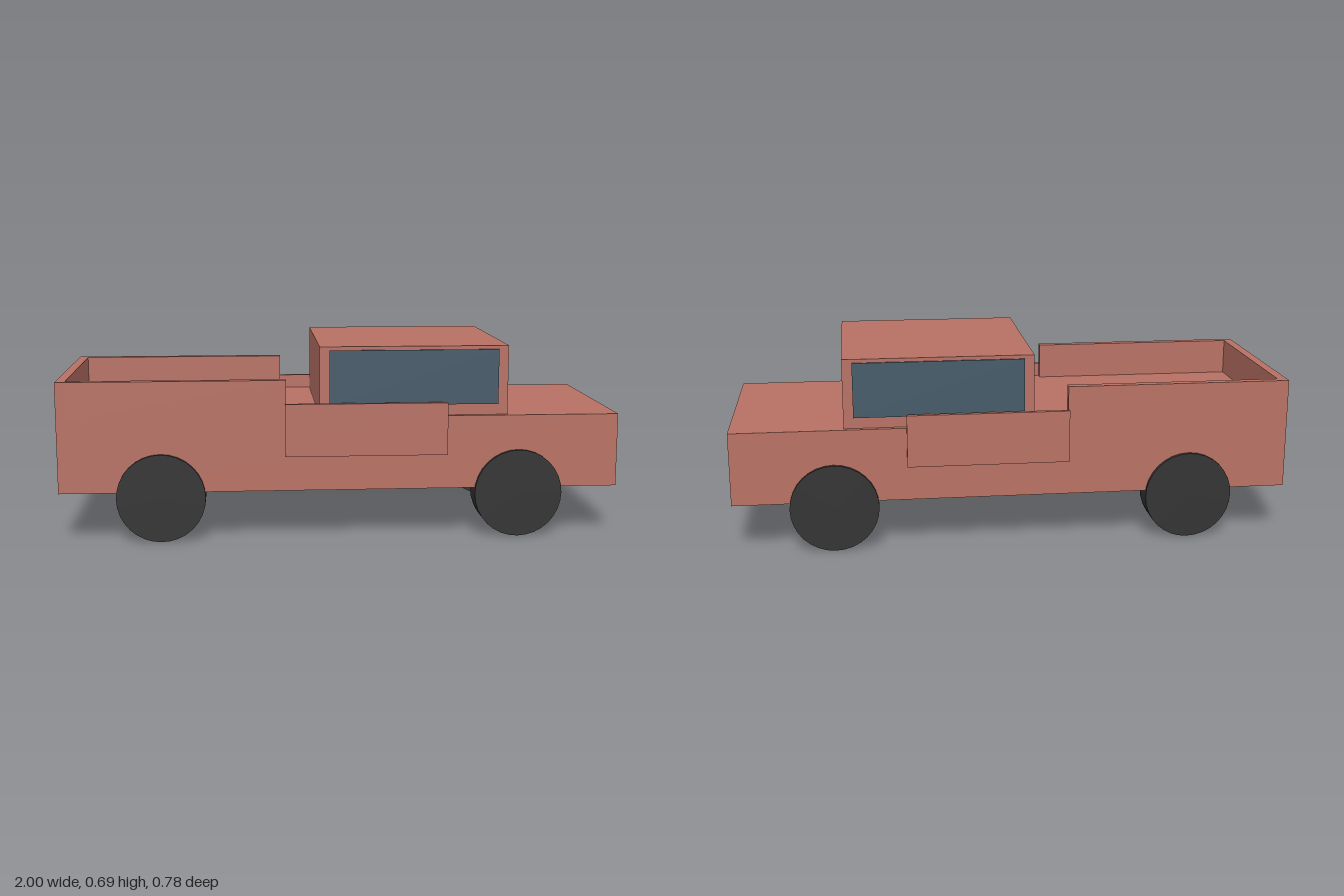
import * as THREE from 'three';

export function createModel() {
  const truck = new THREE.Group();
  truck.name = 'pickupTruck';

  const material = (name, color) => {
    const m = new THREE.MeshStandardMaterial({ color });
    m.name = name;
    return m;
  };
  const paint = material('bodyPaint', 0xb87164);
  const glass = material('windowGlass', 0x455a69);
  const rubber = material('tyreRubber', 0x333333);

  // Adds a box given by its extents along each axis
  const box = (name, mat, [x0, x1], [y0, y1], [z0, z1]) => {
    const mesh = new THREE.Mesh(new THREE.BoxGeometry(x1 - x0, y1 - y0, z1 - z0), mat);
    mesh.position.set((x0 + x1) / 2, (y0 + y1) / 2, (z0 + z1) / 2);
    mesh.name = name;
    truck.add(mesh);
  };

  // Main hull, cab and tailgate
  box('lowerBody', paint, [-1, 1], [0.178, 0.442], [-0.367, 0.367]);
  box('cab', paint, [-0.075, 0.6], [0.442, 0.69], [-0.349, 0.349]);
  box('tailgate', paint, [-1, -0.966], [0.442, 0.575], [-0.367, 0.367]);

  const wheelGeometry = new THREE.CylinderGeometry(0.158, 0.158, 0.097, 32).rotateX(Math.PI / 2);

  // Parts repeated on both sides
  for (const [label, s] of [['front', 1], ['back', -1]]) {
    const span = (a, b) => (s > 0 ? [a, b] : [-b, -a]);
    box(label + 'BedRail', paint, [-0.966, -0.195], [0.442, 0.575], span(0.337, 0.367));
    box(label + 'Door', paint, [-0.198, 0.38], [0.304, 0.492], span(0.371, 0.388));
    box(label + 'Window', glass, [-0.04, 0.565], [0.481, 0.677], span(0.347, 0.355));

    for (const x of [-0.64, 0.64]) {
      const wheel = new THREE.Mesh(wheelGeometry, rubber);
      wheel.position.set(x, 0.158, s * 0.3315);
      wheel.name = label + (x > 0 ? 'NoseWheel' : 'TailWheel');
      truck.add(wheel);
    }
  }
  return truck;
}
